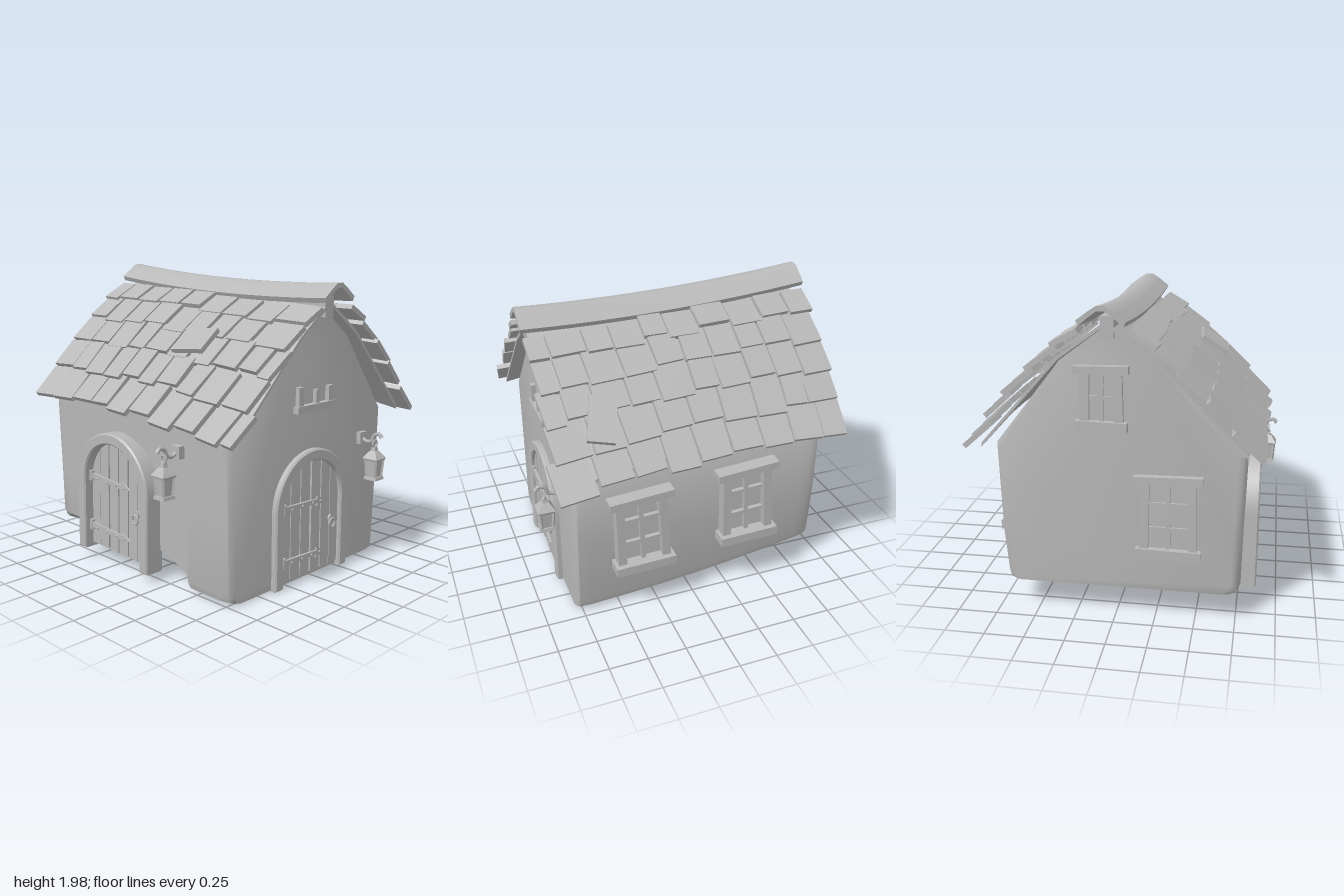
import * as THREE from 'three';
import { toCreasedNormals } from 'three/addons/utils/BufferGeometryUtils.js';

const grey = new THREE.MeshStandardMaterial({ color: 0xb8b8b8 });
grey.name = 'plain grey';

let seed = 7;
const rnd = () => (seed = (seed * 16807) % 2147483647) / 2147483647;
const jitter = (a) => (rnd() * 2 - 1) * a;

function add(parent, name, geo, x = 0, y = 0, z = 0) {
  const m = new THREE.Mesh(geo, grey);
  m.name = name;
  m.position.set(x, y, z);
  parent.add(m);
  return m;
}
const box = (w, h, d) => new THREE.BoxGeometry(w, h, d);

// Skin closed [z, y] rings placed along x; rings run up the front and down the back
function loft(sections, crease = 0.6) {
  const pos = [];
  const put = (s, j) => pos.push(s.x, s.ring[j][1], s.ring[j][0]);
  const n = sections[0].ring.length;
  for (let i = 0; i + 1 < sections.length; i++) {
    const a = sections[i], b = sections[i + 1];
    for (let j = 0; j < n; j++) {
      const k = (j + 1) % n;
      put(a, j); put(b, j); put(b, k);
      put(a, j); put(b, k); put(a, k);
    }
  }
  for (const [s, dir] of [[sections[0], -1], [sections[sections.length - 1], 1]]) {
    const pts = s.ring.map((p) => new THREE.Vector2(...p));
    for (const [a, b, c] of THREE.ShapeUtils.triangulateShape(pts, [])) {
      const cross = pts[b].clone().sub(pts[a]).cross(pts[c].clone().sub(pts[a]));
      const order = -cross * dir > 0 ? [a, b, c] : [a, c, b];
      order.forEach((j) => put(s, j));
    }
  }
  const g = new THREE.BufferGeometry();
  g.setAttribute('position', new THREE.Float32BufferAttribute(pos, 3));
  return toCreasedNormals(g, crease);
}

// Crooked lines of the house along x
const floorY = (x) => 0.07 - 0.105 * x + 0.044 * x * x;
const ridgeY = (x) => 1.91 - 0.037 * x + 0.04 * x * x;
const sag = (x, k) => -0.05 * x + (k / 4) * (0.05 - 0.07 * x * x); // k: 0 at ridge, 4 at eave
const steps = (a, b, n) => Array.from({ length: n + 1 }, (_, i) => a + ((b - a) * i) / n);

// Walls: x, front z, front edge of the floor, back z.
// Behind the door the floor rises to the front wall as a low wedge.
function walls() {
  const plan = [
    [-0.9, 0.72, 0.7, -0.66], [-0.885, 0.755, 0.74, -0.685], [-0.84, 0.775, 0.75, -0.7], [-0.78, 0.775, 0.72, -0.7],
    [-0.53, 0.765, 0.545, -0.7], [-0.29, 0.765, 0.405, -0.7], [-0.04, 0.765, 0.26, -0.7], [0.2, 0.75, 0.13, -0.7],
    [0.32, 0.75, 0.4, -0.7], [0.43, 0.755, 0.66, -0.7], [0.46, 0.79, 0.77, -0.7], [0.7, 0.765, 0.755, -0.7],
    [0.77, 0.75, 0.735, -0.695], [0.79, 0.72, 0.7, -0.67],
  ];
  return loft(plan.map(([x, f, low, b]) => {
    const y = floorY(x), e = sag(x, 4), r = sag(x, 0);
    const rise = 0.16 * Math.max(0, f - low - 0.03);
    return { x, ring: [
      [low - 0.04, y], [low, y + 0.015], [f, y + 0.06 + rise], [f + 0.005, 0.55],
      [f + 0.02, 1.06 + e], [0.24, 1.6 + r], [-0.04, 1.81 + r], [-0.32, 1.6 + r],
      [b - 0.04, 1.06 + e], [b - 0.025, 0.55], [b, y + 0.06], [b + 0.012, y + 0.018], [b + 0.05, y],
    ] };
  }), 0.75);
}

function roof(parent) {
  // Boards under the shingles
  add(parent, 'roofBoards', loft(steps(-0.93, 0.87, 8).map((x) => {
    const e = sag(x, 4), r = sag(x, 0);
    const top = [[0.8, 1.085 + e], [0.24, 1.635 + r], [-0.04, 1.84 + r], [-0.32, 1.635 + r], [-0.81, 1.085 + e]];
    return { x, ring: [...top, ...top.map(([z, y]) => [z, y - 0.025]).reverse()] };
  })));
  // Ridge cap and the beam beneath it
  add(parent, 'ridgeCap', loft(steps(-0.98, 0.93, 12).map((x) => {
    const arc = [[0.145, -0.09], [0.08, -0.04], [0.025, -0.004], [-0.025, -0.004], [-0.08, -0.04], [-0.145, -0.09]];
    const ring = [...arc, ...arc.map(([z, y]) => [z * 0.9, y - 0.03]).reverse()];
    return { x, ring: ring.map(([z, y]) => [z - 0.055, y + ridgeY(x)]) };
  }), 0.75));
  add(parent, 'ridgeBeam', loft(steps(-0.93, 0.87, 6).map((x) => {
    const y = 1.74 + sag(x, 0);
    return { x, ring: [[0.01, y], [0.01, y + 0.13], [-0.07, y + 0.13], [-0.07, y]] };
  })));
  // Shingles: five overlapping rows on each slope
  const unit = box(1, 1, 1).translate(0, 0.5, 0.5);
  const shingle = (x, y, z, w, len, lean, side, twist) => {
    const m = add(parent, 'shingle', unit, x, y, z);
    m.scale.set(w, len, 0.032);
    m.rotation.set(-lean, side > 0 ? 0 : Math.PI, twist, 'YXZ');
  };
  const rowY = [1.695, 1.555, 1.405, 1.235, 1.05];
  const rowLength = [0.175, 0.215, 0.23, 0.235, 0.25];
  const rowLean = [1.07, 0.95, 0.87, 0.84, 0.84];
  const rowZ = { 1: [0.24, 0.4, 0.55, 0.72, 0.88], [-1]: [-0.34, -0.49, -0.63, -0.77, -0.9] };
  for (const side of [1, -1]) {
    for (let k = 0; k < 5; k++) {
      let x = -0.98 + (k % 2) * 0.01;
      const end = [0.92, 0.9, 0.91, 0.9, 0.92][k];
      while (x < end - 0.05) {
        let w = 0.155 + rnd() * 0.07;
        if (end - x - w < 0.1) w = end - x;
        const c = x + w / 2, drop = jitter(0.018);
        const slope = (sag(c + 0.05, k) - sag(c - 0.05, k)) / 0.1;
        shingle(c, rowY[k] + sag(c, k) - drop, rowZ[side][k] + side * drop, w - 0.012,
          rowLength[k] + drop, rowLean[k] + jitter(0.02), side, side * slope * 0.8 + jitter(0.035));
        x += w;
      }
    }
  }
  // Slipped shingles
  shingle(0.25, 1.475, 0.585, 0.25, 0.21, 0.98, 1, 0.12);
  shingle(0.62, 1.29, -0.79, 0.17, 0.3, 0.9, -1, -0.28);
}

// Arched door facing +z, base at the origin; reach is how far the arch stands forward
function door(reach) {
  const g = new THREE.Group();
  const R = 0.35, r = 0.295, spring = 0.49;
  const s = new THREE.Shape();
  s.moveTo(R, 0).lineTo(R, spring).absarc(0, spring, R, 0, Math.PI, false);
  s.lineTo(-R, 0).lineTo(-r, 0).lineTo(-r, spring).absarc(0, spring, r, Math.PI, 0, true);
  s.lineTo(r, 0);
  add(g, 'doorArch', toCreasedNormals(new THREE.ExtrudeGeometry(s, {
    depth: reach + 0.03, bevelEnabled: true, bevelSize: 0.01, bevelThickness: 0.01, bevelSegments: 1, curveSegments: 16,
  }), 0.6), 0, 0, -0.04);
  // Planks cut to the arch
  const n = 6, pw = (2 * r) / n;
  for (let i = 0; i < n; i++) {
    const a = -r + i * pw + 0.005, b = a + pw - 0.01;
    const top = steps(b, a, 4).map((x) => new THREE.Vector2(x, spring + Math.sqrt(Math.max(0, r * r - x * x))));
    const base = 0.015 + rnd() * 0.015;
    const p = new THREE.Shape([new THREE.Vector2(a, base), new THREE.Vector2(b, base), ...top]);
    add(g, 'doorPlank', new THREE.ExtrudeGeometry(p, { depth: 0.03, bevelEnabled: false }), 0, 0, jitter(0.005) - 0.005);
  }
  // Strap hinges with arrow tips and studs
  const strap = new THREE.Shape([[0, -0.018], [0.34, -0.014], [0.34, -0.035], [0.42, 0], [0.34, 0.035], [0.34, 0.014], [0, 0.018]]
    .map((p) => new THREE.Vector2(...p)));
  const strapGeo = new THREE.ExtrudeGeometry(strap, { depth: 0.018, bevelEnabled: false });
  for (const y of [0.155, 0.505]) {
    add(g, 'strapHinge', strapGeo, -0.29, y, 0.025).rotation.z = -0.03;
    add(g, 'hingePin', new THREE.CylinderGeometry(0.018, 0.018, 0.07, 8), -0.275, y, 0.035);
    for (const x of [-0.2, -0.1, 0, 0.08]) add(g, 'stud', new THREE.SphereGeometry(0.009, 6, 4), x, y - 0.01, 0.044);
  }
  // Ring handle
  add(g, 'handlePlate', new THREE.CylinderGeometry(0.025, 0.025, 0.02, 10).rotateX(Math.PI / 2), 0.2, 0.345, 0.035);
  add(g, 'handleRing', new THREE.TorusGeometry(0.03, 0.008, 6, 14), 0.2, 0.315, 0.05);
  return g;
}

// Timber window facing +z, centred on the origin; d scales how far it stands out
function windowFrame(w, h, d) {
  const g = new THREE.Group();
  add(g, 'windowPane', box(w, h, 0.02 * d), 0, 0, 0.01 * d);
  for (const s of [-1, 1]) {
    add(g, 'jamb', box(0.055, h, 0.11 * d), s * (w / 2 - 0.02), 0, 0.02 * d).rotation.z = s * 0.02;
  }
  add(g, 'lintel', box(w + 0.09, 0.05, 0.15 * d), 0, h / 2, 0.03 * d).rotation.z = 0.02;
  add(g, 'sill', box(w + 0.07, 0.06, 0.16 * d), 0, -h / 2, 0.03 * d).rotation.z = -0.02;
  add(g, 'mullion', box(0.028, h, 0.04 * d), 0, 0, 0.03 * d);
  const bars = h > 0.4 ? [-1 / 6, 1 / 6] : [0];
  for (const t of bars) add(g, 'glazingBar', box(w, 0.024, 0.035 * d), 0, t * h, 0.03 * d);
  return g;
}

// Hanging lantern on a wall bracket facing +z, lantern foot at y = 0
function lantern() {
  const g = new THREE.Group();
  const d = 0.125;
  const hook = new THREE.CatmullRomCurve3([[0.27, 0.02], [0.25, 0.06], [0.26, 0.1], [0.3, 0.12], [0.315, 0.155], [0.29, 0.18]]
    .map(([y, z]) => new THREE.Vector3(0, y, z)));
  add(g, 'bracketPlate', box(0.07, 0.08, 0.05), 0, 0.27, 0.008);
  add(g, 'bracketArm', new THREE.TubeGeometry(hook, 16, 0.013, 6));
  add(g, 'hangingRing', new THREE.TorusGeometry(0.024, 0.007, 5, 10), 0, 0.245, d);
  const square = (a, b, h) => new THREE.CylinderGeometry(a, b, h, 4, 1, false, Math.PI / 4);
  const flat = (a, b, h) => toCreasedNormals(square(a, b, h), 0.3);
  add(g, 'lanternFinial', flat(0.018, 0.026, 0.03), 0, 0.21, d);
  add(g, 'lanternRoof', flat(0.03, 0.08, 0.05), 0, 0.172, d);
  add(g, 'lanternRim', flat(0.078, 0.07, 0.018), 0, 0.14, d);
  add(g, 'lanternGlass', flat(0.06, 0.048, 0.12), 0, 0.075, d);
  for (let i = 0; i < 4; i++) {
    const a = ((i + 0.5) * Math.PI) / 2;
    const bar = add(g, 'lanternBar', box(0.014, 0.125, 0.014), Math.sin(a) * 0.055, 0.075, d + Math.cos(a) * 0.055);
    bar.rotation.set(0.1, a, 0, 'YXZ');
  }
  add(g, 'lanternBase', flat(0.062, 0.068, 0.022), 0, 0.011, d);
  return g;
}

export function createModel() {
  const house = new THREE.Group();
  house.name = 'cottage';
  add(house, 'walls', walls());
  const roofGroup = new THREE.Group();
  roofGroup.name = 'roof';
  house.add(roofGroup);
  roof(roofGroup);

  const place = (name, part, x, y, z, turn = 0, tilt = 0) => {
    part.name = name;
    part.position.set(x, y, z);
    part.rotation.set(0, turn, tilt, 'YXZ');
    house.add(part);
  };
  const q = Math.PI / 2;
  place('frontDoor', door(0.09), -0.205, 0.085, 0.78, 0, -0.03);
  place('sideDoor', door(0.055), 0.775, 0.015, 0.03, q);
  place('backWindowLeft', windowFrame(0.33, 0.5, 1), 0.365, 0.61, -0.725, Math.PI, 0.05);
  place('backWindowRight', windowFrame(0.33, 0.5, 1), -0.355, 0.66, -0.725, Math.PI, 0.05);
  place('sideWindow', windowFrame(0.33, 0.48, 0.45), -0.895, 0.7, 0.33, -q);
  place('gableWindow', windowFrame(0.24, 0.34, 0.45), -0.895, 1.43, -0.07, -q);
  place('frontLantern', lantern(), 0.38, 0.635, 0.78);
  place('sideLantern', lantern(), 0.79, 0.58, -0.5, q);

  // Small shelf with pegs under the side gable
  add(house, 'shelf', box(0.06, 0.045, 0.36), 0.8, 1.135, 0.02);
  for (const [z, h, w] of [[0.16, 0.12, 0.045], [0.0, 0.09, 0.03], [-0.135, 0.1, 0.05]]) {
    add(house, 'peg', box(0.03, h, w), 0.805, 1.155 + h / 2, z);
  }
  return house;
}
